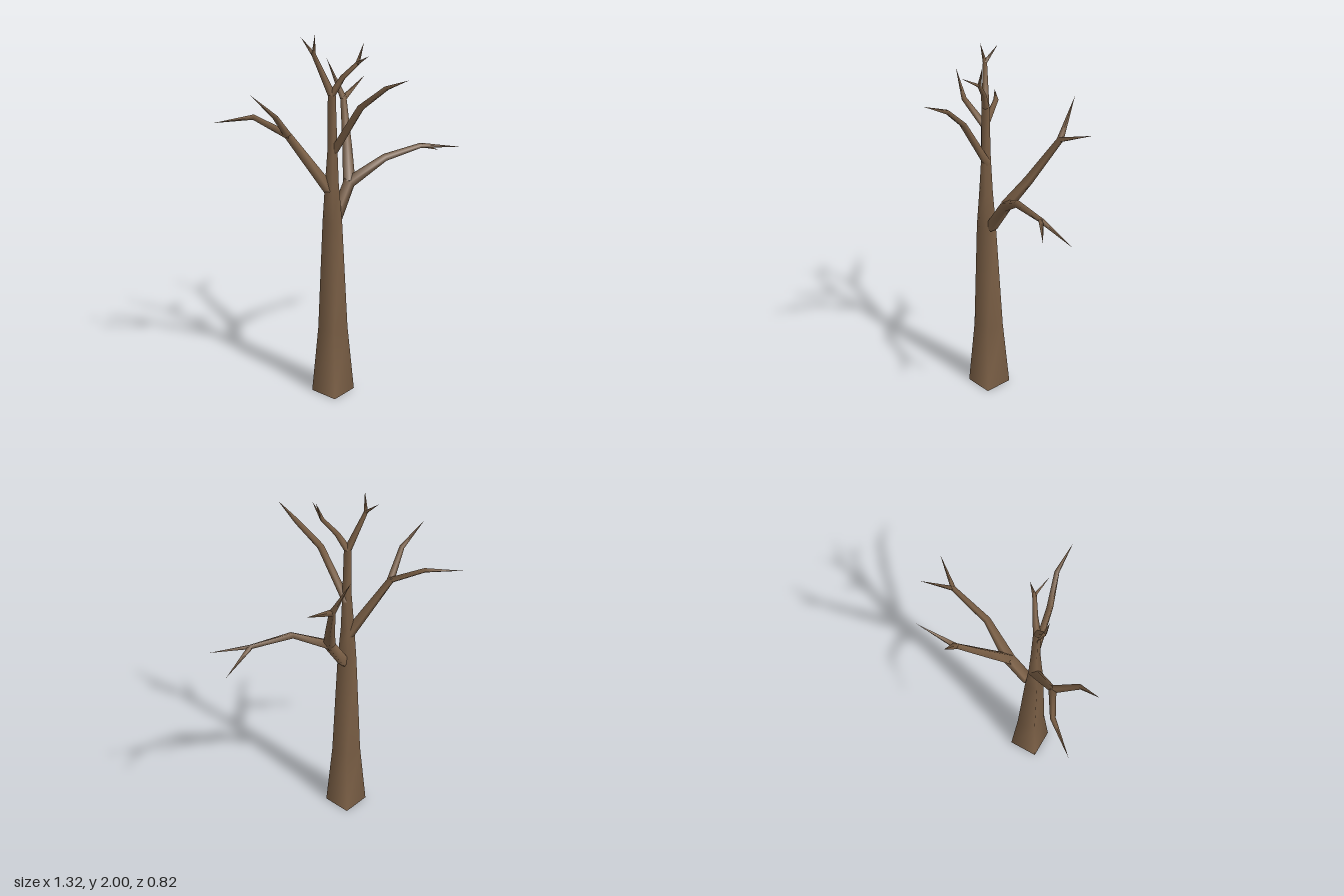
import * as THREE from 'three';

const SIDES = 4;

// Tapered four-sided limb through [x, y, z, radius] points, smooth-shaded, with a flat start cap
function limbGeometry(points) {
  const centres = points.map(p => new THREE.Vector3(p[0], p[1], p[2]));
  const up = new THREE.Vector3(0, 1, 0);
  const last = centres.length - 1;
  const pos = [], idx = [];
  centres.forEach((c, k) => {
    const dir = new THREE.Vector3();
    if (k > 0) dir.add(c.clone().sub(centres[k - 1]).normalize());
    if (k < last) dir.add(centres[k + 1].clone().sub(c).normalize());
    const q = new THREE.Quaternion().setFromUnitVectors(up, dir.normalize());
    for (let i = 0; i < SIDES; i++) {
      const a = (i / SIDES) * Math.PI * 2;
      const v = new THREE.Vector3(Math.cos(a), 0, Math.sin(a))
        .multiplyScalar(points[k][3]).applyQuaternion(q).add(c);
      pos.push(v.x, v.y, v.z);
    }
  });
  for (let k = 0; k < last; k++) {
    for (let i = 0; i < SIDES; i++) {
      const j = (i + 1) % SIDES;
      const a = k * SIDES + i, b = k * SIDES + j;
      idx.push(a, a + SIDES, b, b, a + SIDES, b + SIDES);
    }
  }
  // start cap with its own vertices, so its edge stays sharp
  const base = pos.length / 3;
  pos.push(...pos.slice(0, SIDES * 3));
  for (let i = 1; i < SIDES - 1; i++) idx.push(base, base + i, base + i + 1);
  const g = new THREE.BufferGeometry();
  g.setAttribute('position', new THREE.Float32BufferAttribute(pos, 3));
  g.setIndex(idx);
  g.computeVertexNormals();
  return g;
}

export function createModel() {
  const tree = new THREE.Group();
  tree.name = 'bareTree';
  const bark = new THREE.MeshStandardMaterial({ color: 0x7d6147 });
  bark.name = 'bark brown';

  // joints where limbs fork
  const crown = [-0.065, 1.68, 0.135, 0.02];
  const crownLeft = [-0.155, 1.89, 0.142, 0.011];
  const crownRight = [0.063, 1.845, 0.155, 0.011];
  const sideFork = [-0.29, 1.48, 0.155, 0.02];
  const elbow = [0.035, 1.17, 0.025, 0.033];
  const longFork = [0.44, 1.3, -0.165, 0.014];
  const backFork = [0.03, 1.55, -0.25, 0.018];

  const limbs = {
    trunk: [[-0.062, 0, 0.13, 0.115], [-0.062, 0.38, 0.13, 0.079], [-0.064, 1.0, 0.137, 0.051],
      [-0.066, 1.2, 0.137, 0.036], [-0.062, 1.4, 0.135, 0.025], crown],
    // crown twigs
    crownLeftBranch: [crown, crownLeft, [-0.15, 1.995, 0.165, 0]],
    crownLeftTwig: [crownLeft, [-0.215, 1.965, 0.08, 0]],
    crownRightBranch: [crown, [-0.01, 1.77, 0.14, 0.014], crownRight, [0.095, 1.945, 0.14, 0]],
    crownRightTwig: [crownRight, [0.11, 1.9, 0.24, 0]],
    // branch reaching forward
    frontBranch: [[-0.06, 1.37, 0.13, 0.022], [0.07, 1.64, 0.24, 0.018],
      [0.19, 1.755, 0.305, 0.014], [0.285, 1.82, 0.41, 0]],
    // forked branch on the -x side
    sideBranch: [[-0.07, 1.16, 0.132, 0.032], sideFork, [-0.46, 1.565, 0.105, 0.014], [-0.665, 1.545, 0.125, 0]],
    sideTwig: [sideFork, [-0.355, 1.61, 0.27, 0.014], [-0.475, 1.74, 0.322, 0]],
    // low branch splitting at the elbow
    longBranch: [[-0.045, 1.0, 0.11, 0.034], elbow, [0.23, 1.28, -0.04, 0.02], longFork, [0.655, 1.28, -0.182, 0]],
    longTwig: [longFork, [0.565, 1.22, -0.32, 0]],
    backBranch: [elbow, [0.036, 1.32, -0.09, 0.026], backFork, [0.16, 1.63, -0.41, 0]],
    backTwig: [backFork, [-0.055, 1.755, -0.32, 0]],
  };

  for (const [name, points] of Object.entries(limbs)) {
    const mesh = new THREE.Mesh(limbGeometry(points), bark);
    mesh.name = name;
    tree.add(mesh);
  }
  return tree;
}
